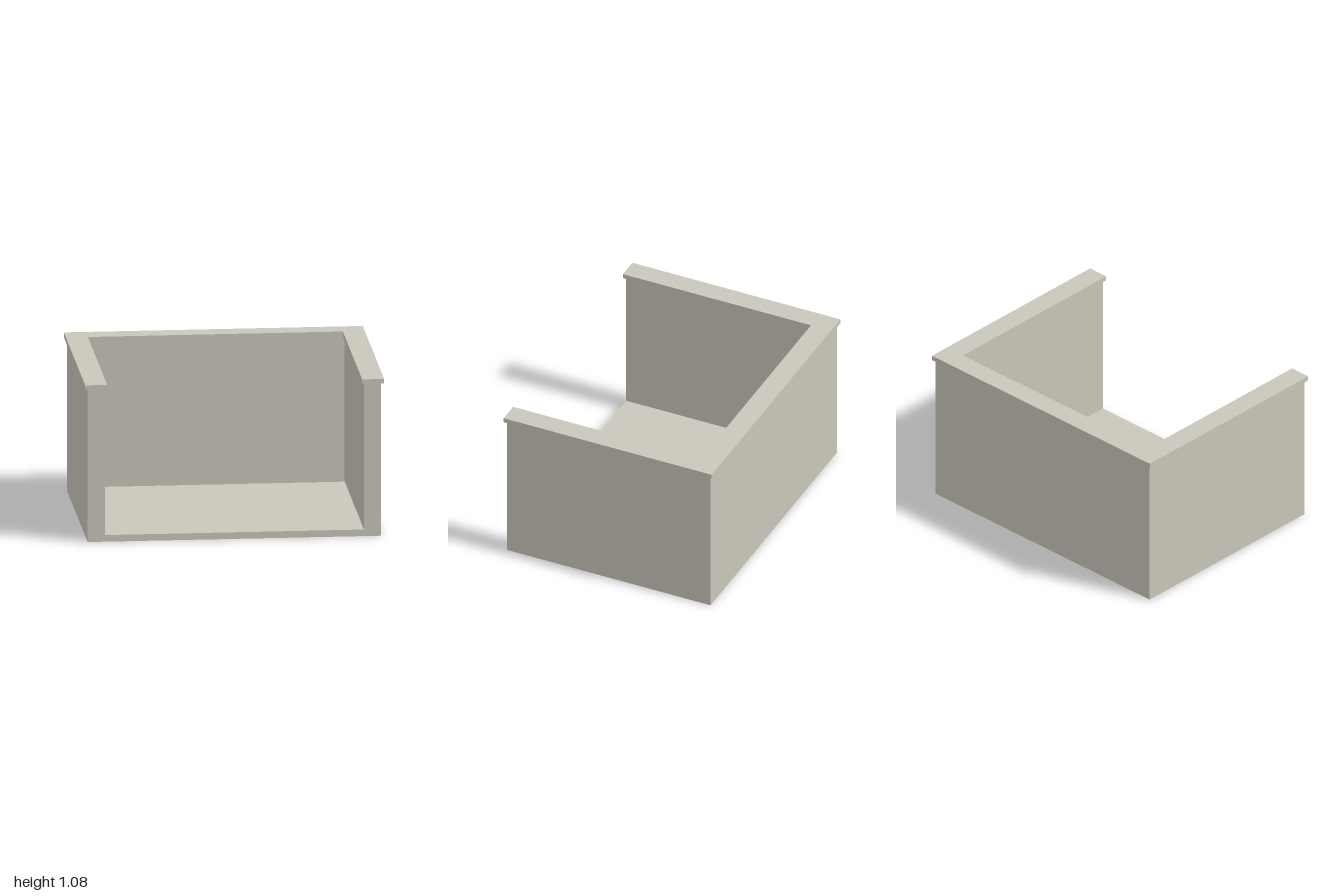
import * as THREE from 'three';

const stone = new THREE.MeshStandardMaterial({ color: 0xc9c6ba });
stone.name = 'paleStone';

// U-shaped slab, open towards +z, standing from y0 to y1
function uSlab(name, outerX, outerZ, innerX, innerBack, y0, y1) {
  const outline = [
    [-outerX, -outerZ], [-innerX, -outerZ], [-innerX, innerBack], [innerX, innerBack],
    [innerX, -outerZ], [outerX, -outerZ], [outerX, outerZ], [-outerX, outerZ],
  ].map(([x, y]) => new THREE.Vector2(x, y));
  const geometry = new THREE.ExtrudeGeometry(new THREE.Shape(outline), { depth: y1 - y0, bevelEnabled: false });
  geometry.rotateX(-Math.PI / 2).translate(0, y0, 0);
  const mesh = new THREE.Mesh(geometry, stone);
  mesh.name = name;
  return mesh;
}

export function createModel() {
  const model = new THREE.Group();
  model.name = 'threeSidedEnclosure';

  // Back and side walls
  model.add(uSlab('walls', 0.982, 0.75, 0.867, 0.635, 0, 1.045));

  // Overhanging coping along the wall tops
  model.add(uSlab('coping', 1, 0.767, 0.853, 0.62, 1.045, 1.077));

  // Floor slab between the walls
  const floor = new THREE.Mesh(new THREE.BoxGeometry(1.734, 0.045, 1.385), stone);
  floor.position.set(0, 0.0225, 0.0575);
  floor.name = 'floor';
  model.add(floor);

  return model;
}
